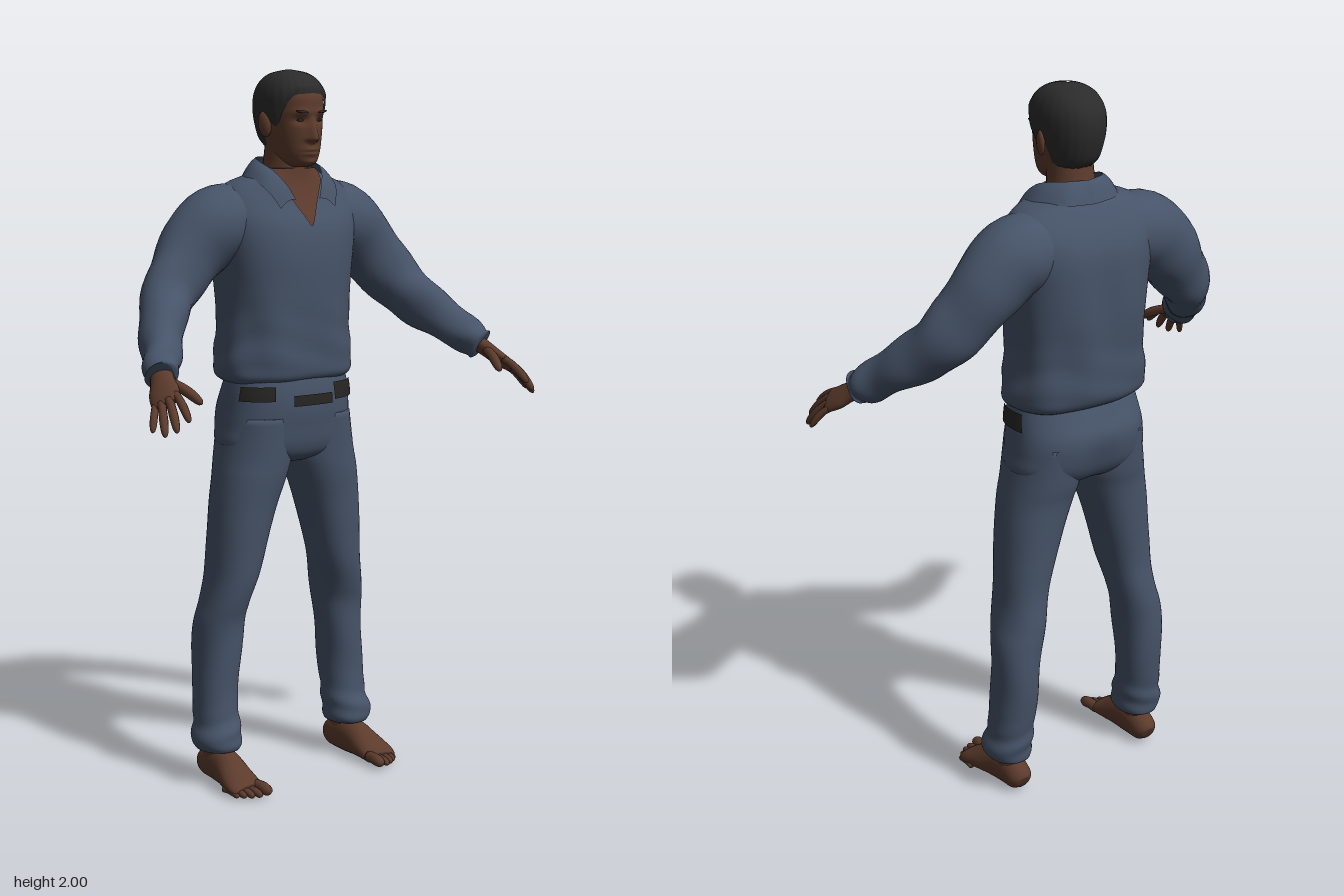
import * as THREE from 'three';
import { mergeVertices } from 'three/addons/utils/BufferGeometryUtils.js';

const { sin, cos, abs, sign, exp, PI, min, max } = Math;
const V = (x, y, z) => new THREE.Vector3(x, y, z);
const gauss = (d, s) => exp(-((d / s) ** 2));
const paint = (name, color, extra = {}) =>
  Object.assign(new THREE.MeshStandardMaterial({ color, ...extra }), { name });

// Smooth interpolation through a list of number rows, t in 0..1
function sample(rows, t) {
  const n = rows.length - 1, f = min(max(t, 0), 1) * n, i = min(Math.floor(f), n - 1), k = f - i;
  const row = (j) => rows[min(max(j, 0), n)];
  return rows[0].map((_, c) => {
    const a = row(i - 1)[c], b = row(i)[c], d = row(i + 1)[c], e = row(i + 2)[c];
    return b + 0.5 * k * (d - a + k * (2 * a - 5 * b + 4 * d - e + k * (3 * (b - d) + e - a)));
  });
}

// Parameter t at which ascending rows reach height y
function tAt(rows, y) {
  let lo = 0, hi = 1;
  for (let i = 0; i < 24; i++) {
    const m = (lo + hi) / 2;
    if (sample(rows, m)[0] < y) lo = m; else hi = m;
  }
  return lo;
}

// Surface from a rule fn(u, v)
function grid(fn, nu, nv) {
  const pos = [], idx = [], w = nu + 1;
  for (let j = 0; j <= nv; j++) for (let i = 0; i <= nu; i++) pos.push(...fn(i / nu, j / nv).toArray());
  for (let j = 0; j < nv; j++) for (let i = 0; i < nu; i++) {
    const a = j * w + i;
    idx.push(a, a + 1, a + w + 1, a, a + w + 1, a + w);
  }
  const g = new THREE.BufferGeometry();
  g.setAttribute('position', new THREE.Float32BufferAttribute(pos, 3));
  g.setIndex(idx);
  const m = mergeVertices(g);
  m.computeVertexNormals();
  return m;
}

// Point on a level cross-section; rows are [y, xMin, xMax, zFront, zBack], angle 0 faces front
function onBody(rows, t, ang, grow = 0, n = 2.4) {
  const [y, x0, x1, zf, zb] = sample(rows, t), p = 2 / n, s = sin(ang), c = cos(ang);
  return V((x0 + x1) / 2 + ((x1 - x0) / 2 + grow) * sign(s) * abs(s) ** p, y,
    (zf + zb) / 2 + ((zf - zb) / 2 + grow) * sign(c) * abs(c) ** p);
}

// Closed body from level cross-sections, fold(angle, y) gives cloth relief
function body(rows, { n = 2.4, nu = 48, nv = 50, fold = () => 0, warp = (p) => p } = {}) {
  return grid((u, v) => {
    const j = Math.round(v * nv), t = (j - 1) / (nv - 2), a = u * 2 * PI;
    const r = sample(rows, t);
    if (j === 0 || j === nv) return V((r[1] + r[2]) / 2, r[0], (r[3] + r[4]) / 2);
    return warp(onBody(rows, t, a, fold(a, r[0]), n));
  }, nu, nv);
}

// Closed limb along a path of [x, y, z, sideRadius, otherRadius]
function limb(rows, ref, { nu = 20, nv = 24, fold = () => 0, floor = -1 } = {}) {
  return grid((u, v) => {
    const j = Math.round(v * nv), t = (j - 1) / (nv - 2), a = u * 2 * PI;
    const [x, y, z, ra, rb] = sample(rows, t), c = V(x, y, z);
    if (j === 0 || j === nv) return c;
    const at = (k) => V(...sample(rows, k).slice(0, 3));
    const tan = at(min(t + 0.02, 1)).sub(at(max(t - 0.02, 0))).normalize();
    const side = ref.clone().addScaledVector(tan, -ref.dot(tan)).normalize();
    const up = tan.clone().cross(side), f = fold(a, min(max(t, 0), 1));
    c.addScaledVector(side, (ra + f) * cos(a)).addScaledVector(up, (rb + f) * sin(a));
    c.y = max(c.y, floor);
    return c;
  }, nu, nv);
}

// Finger or toe with a rounded tip
function digit(base, tip, r, lift) {
  const at = (k) => base.map((b, i) => b + (tip[i] - b) * k + (i === 1 ? lift * 4 * k * (1 - k) : 0));
  return limb([[0, 1], [0.3, 0.95], [0.6, 1], [0.85, 0.85], [0.96, 0.55], [1, 0.1]]
    .map(([k, s]) => [...at(k), r * s, r * s]), V(1, 0.1, 0.2), { nu: 10, nv: 14, floor: 0 });
}

const even = (rows) => rows.map(([y, w, f, b]) => [y, -w, w, f, b]);

const TORSO = even([[1.145, 0.182, 0, -0.22], [1.162, 0.203, 0.02, -0.245], [1.2, 0.206, 0.026, -0.257],
  [1.3, 0.193, 0.03, -0.262], [1.4, 0.196, 0.034, -0.272], [1.5, 0.208, 0.034, -0.272], [1.58, 0.222, 0.02, -0.265],
  [1.64, 0.222, -0.008, -0.243], [1.69, 0.18, -0.028, -0.21], [1.715, 0.115, -0.034, -0.19], [1.735, 0.078, -0.036, -0.178]]);
const PELVIS = even([[0.915, 0.06, -0.05, -0.16], [0.935, 0.15, -0.01, -0.21], [0.97, 0.205, 0.008, -0.24],
  [1.02, 0.203, 0.016, -0.255], [1.07, 0.197, 0.022, -0.257], [1.12, 0.19, 0.02, -0.237], [1.17, 0.18, 0.01, -0.215]]);
const LEG = [[0.1, 0.172, 0.288, -0.052, -0.188], [0.118, 0.165, 0.299, -0.045, -0.192], [0.15, 0.163, 0.297, -0.05, -0.195],
  [0.2, 0.166, 0.287, -0.064, -0.2], [0.3, 0.158, 0.284, -0.07, -0.212], [0.45, 0.145, 0.275, -0.06, -0.219],
  [0.52, 0.131, 0.263, -0.046, -0.214], [0.6, 0.11, 0.25, -0.03, -0.203], [0.7, 0.084, 0.242, -0.018, -0.206],
  [0.8, 0.052, 0.235, -0.01, -0.21], [0.88, 0.022, 0.224, 0, -0.216], [0.94, 0.006, 0.212, 0.004, -0.228], [1.05, 0.01, 0.19, 0.012, -0.24]];
const HEAD = even([[1.738, 0.02, -0.005, -0.06], [1.75, 0.04, 0.015, -0.09], [1.775, 0.057, 0.021, -0.13],
  [1.81, 0.067, 0.025, -0.165], [1.85, 0.074, 0.026, -0.182], [1.89, 0.078, 0.027, -0.19], [1.93, 0.077, 0.024, -0.187],
  [1.962, 0.065, 0, -0.167], [1.982, 0.042, -0.033, -0.135], [1.991, 0.004, -0.08, -0.09]]);
const ARM = [[0.12, 1.59, -0.13, 0.1, 0.1], [0.21, 1.58, -0.135, 0.108, 0.105], [0.285, 1.52, -0.135, 0.1, 0.09],
  [0.35, 1.445, -0.122, 0.088, 0.075], [0.41, 1.375, -0.085, 0.078, 0.068], [0.462, 1.312, -0.018, 0.066, 0.06],
  [0.51, 1.258, 0.05, 0.055, 0.052], [0.538, 1.228, 0.095, 0.048, 0.046], [0.546, 1.219, 0.108, 0.042, 0.04]];

// Brow, eye sockets, nose, lips and chin
function face(p) {
  const { x, y } = p, ax = abs(x);
  if (p.z < -0.05) return p;
  const slope = y > 1.815 ? max(0, 1 - (y - 1.815) / 0.06) : gauss(y - 1.815, 0.009);
  p.z += 0.027 * slope * gauss(x, 0.009 + 0.007 * slope)
    + 0.005 * gauss(y - 1.888, 0.009) * gauss(ax - 0.03, 0.025)
    - 0.011 * gauss(y - 1.865, 0.011) * gauss(ax - 0.032, 0.017)
    + 0.009 * gauss(y - 1.78, 0.013) * gauss(x, 0.024) - 0.006 * gauss(y - 1.78, 0.003) * gauss(x, 0.024)
    + 0.005 * gauss(y - 1.752, 0.009) * gauss(x, 0.022);
  return p;
}

// Hairline height by angle from the front
function hairline(a) {
  const pts = [1.937, 1.935, 1.93, 1.9, 1.85, 1.86, 1.81, 1.79, 1.78, 1.775, 1.775];
  return sample(pts.map((y) => [y]), abs(a) / PI)[0];
}

export function createModel() {
  const cloth = paint('blue grey cloth', 0x465368, { side: THREE.DoubleSide });
  const skin = paint('brown skin', 0x5c3b2c);
  const hair = paint('black hair', 0x2b2b2b);
  const belt = paint('dark leather', 0x262523);
  const model = new THREE.Group();
  model.name = 'standingMan';
  const add = (name, geo, mat, parent = model) => {
    const m = new THREE.Mesh(geo, mat);
    m.name = name;
    parent.add(m);
    return m;
  };
  // Thin plate lying on a body between two heights and two angles
  const plate = (rows, y0, y1, ang, grow, nu = 16, nv = 14) => grid((u, v) => {
    const y = y0 + (y1 - y0) * v, t = tAt(rows, y), [a, b] = ang(y, sample(rows, t));
    return onBody(rows, t, a + (b - a) * u, grow);
  }, nu, nv);

  // Shirt, trousers and belt
  add('shirt', body(TORSO, { nu: 72, fold: (a, y) =>
    0.003 * sin(7 * a + 9 * y) * gauss(y - 1.25, 0.15) - 0.012 * gauss(a - PI, 0.16) * gauss(y - 1.42, 0.16)
    + 0.002 * sin(70 * y + 3 * sin(2 * a)) * gauss(y - 1.24, 0.09) }), cloth);
  add('trouserSeat', body(PELVIS, { nv: 30, fold: (a, y) => -0.012 * gauss(a - PI, 0.15) * gauss(y - 0.98, 0.07) }), cloth);
  const deg = PI / 180;
  [[-72, -31, 1.1, 1.14], [-14, 17, 1.083, 1.113], [20, 102, 1.092, 1.14]].forEach(([a, b, y0, y1]) =>
    add('beltSection', plate(PELVIS, y0, y1, () => [a * deg, b * deg], 0.006, 16, 3), belt));

  // Open neckline
  add('chest', plate(TORSO, 1.58, 1.734, (y, r) => {
    const w = 0.004 + 0.066 * min(1, (y - 1.58) / 0.12);
    const a = Math.asin(min(1, w / r[2]) ** 1.2);
    return [-a, a];
  }, 0.004), skin);

  // Neck, head and hair
  add('neck', limb([[0, 1.64, -0.11, 0.085, 0.07], [0, 1.7, -0.105, 0.073, 0.07], [0, 1.75, -0.098, 0.063, 0.066],
    [0, 1.82, -0.09, 0.06, 0.065]], V(1, 0, 0), { nu: 28 }), skin);
  add('head', body(HEAD, { n: 2.2, nu: 96, nv: 90, warp: face }), skin);
  add('hair', grid((u, v) => {
    const a = (u * 2 - 1) * PI, t0 = tAt(HEAD, hairline(a));
    const p = onBody(HEAD, t0 + (1 - t0) * v, a, 0, 2.2), out = p.clone().sub(V(0, 1.88, -0.085)).normalize();
    return p.addScaledVector(out, 0.001 + 0.009 * min(1, v * 7) + 0.0008 * sin(24 * a) * (1 - v));
  }, 96, 30), hair);

  // Paired parts, modelled on the left side and mirrored
  for (const s of [1, -1]) {
    const half = new THREE.Group();
    half.name = s > 0 ? 'leftSide' : 'rightSide';
    half.scale.x = s;
    model.add(half);
    const put = (name, geo, mat) => add(name, geo, mat, half);

    const ear = put('ear', new THREE.SphereGeometry(1, 16, 12), skin);
    ear.scale.set(0.011, 0.035, 0.02);
    ear.position.set(0.084, 1.853, -0.082);
    ear.rotation.set(-0.15, -0.35, -0.12);
    const eye = put('eye', new THREE.SphereGeometry(1, 14, 8), hair);
    eye.scale.set(0.012, 0.0035, 0.004);
    eye.position.set(0.032, 1.865, 0.0125);
    const brow = put('eyebrow', new THREE.SphereGeometry(1, 14, 8), hair);
    brow.scale.set(0.019, 0.0035, 0.004);
    brow.position.set(0.034, 1.888, 0.0245);
    brow.rotation.set(0, 0.25, 0.1);

    // Collar flap from the nape to its front point
    const fold = new THREE.CatmullRomCurve3([V(0, 1.762, -0.178), V(0.062, 1.762, -0.155), V(0.088, 1.752, -0.1),
      V(0.08, 1.728, -0.045), V(0.058, 1.69, -0.012), V(0.04, 1.652, 0.003)]);
    const hem = new THREE.CatmullRomCurve3([V(0, 1.705, -0.207), V(0.08, 1.708, -0.19), V(0.128, 1.71, -0.115),
      V(0.125, 1.69, -0.04), V(0.108, 1.66, -0.01), V(0.092, 1.628, 0.006)]);
    put('collar', grid((u, v) => {
      const p = hem.getPoint(1 - u).lerp(fold.getPoint(1 - u), v);
      p.y += 0.008 * sin(PI * v);
      return p;
    }, 28, 6), cloth);

    put('sleeve', limb(ARM, V(0, 1, 0), { nu: 32, nv: 50, fold: (a, t) =>
      (0.003 * sin(34 * t + 2 * sin(a)) + 0.0025 * sin(3 * a + 20 * t)) * min(1, t * 2) }), cloth);
    put('trouserLeg', body(LEG, { nu: 40, nv: 60, n: 2.2, fold: (a, y) =>
      0.003 * sin(2 * a + 24 * y) * gauss(y - 0.45, 0.2) + 0.003 * sin(90 * y + 2 * sin(a)) * gauss(y - 0.16, 0.05) }), cloth);

    // Hand
    put('palm', limb([[0.535, 1.23, 0.09, 0.03, 0.024], [0.553, 1.206, 0.125, 0.034, 0.021], [0.568, 1.185, 0.155, 0.042, 0.019],
      [0.581, 1.168, 0.185, 0.04, 0.015], [0.587, 1.16, 0.198, 0.03, 0.009]], V(0.6, -0.4, -0.6)), skin);
    [[[0.558, 1.185, 0.195], [0.572, 1.125, 0.28], 0.0115], [[0.578, 1.173, 0.195], [0.602, 1.1, 0.27], 0.012],
      [[0.592, 1.163, 0.182], [0.624, 1.088, 0.248], 0.0115], [[0.6, 1.155, 0.165], [0.636, 1.095, 0.208], 0.01],
      [[0.542, 1.208, 0.135], [0.505, 1.16, 0.237], 0.014]]
      .forEach(([b, t, r], i) => put(i < 4 ? 'finger' : 'thumb', digit(b, t, r, 0.008), skin));

    // Foot
    put('ankle', limb([[0.228, 0.04, -0.125, 0.036, 0.045], [0.228, 0.1, -0.125, 0.037, 0.047],
      [0.228, 0.2, -0.13, 0.042, 0.05]], V(1, 0, 0)), skin);
    put('foot', limb([[0.226, 0.034, -0.193, 0.02, 0.022], [0.226, 0.042, -0.175, 0.036, 0.04], [0.227, 0.054, -0.12, 0.04, 0.055],
      [0.23, 0.05, -0.07, 0.043, 0.052], [0.235, 0.037, -0.02, 0.05, 0.038], [0.238, 0.025, 0.025, 0.053, 0.025],
      [0.236, 0.018, 0.045, 0.046, 0.015]], V(1, 0, 0), { nu: 28, floor: 0 }), skin);
    [[0.202, 0.097, 0.017], [0.228, 0.093, 0.0115], [0.248, 0.084, 0.011], [0.266, 0.071, 0.0105], [0.281, 0.056, 0.0095]]
      .forEach(([x, z, r]) => put('toe', digit([x, r + 0.006, z - 0.065], [x - 0.003, r, z], r, 0.004), skin));
  }
  return model;
}
